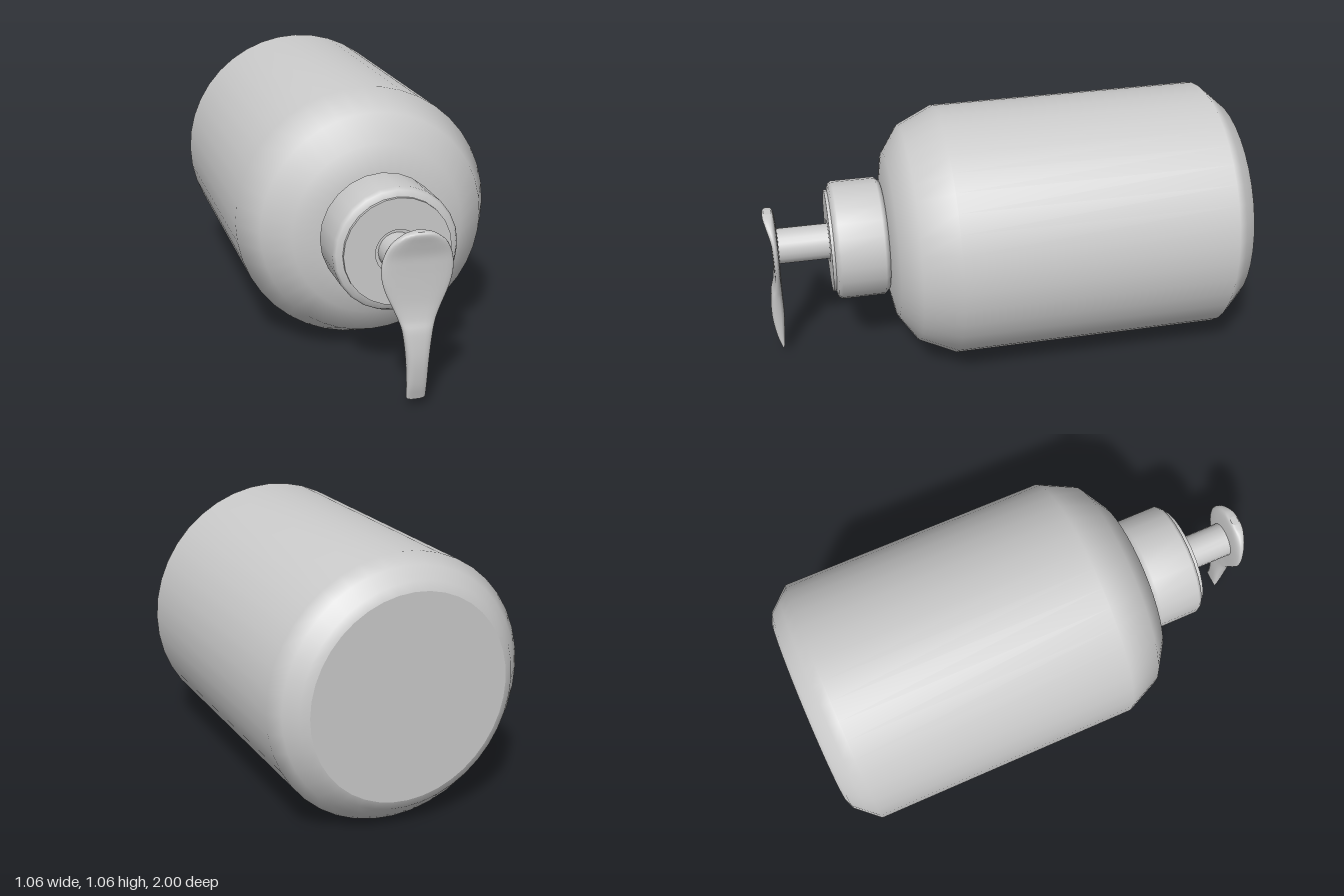
import * as THREE from 'three';
import { mergeGeometries } from 'three/addons/utils/BufferGeometryUtils.js';

const AXIS_Y = 0.53;
const material = new THREE.MeshStandardMaterial({ color: 0xcccccc });

// Turned part along z: each profile is a list of [radius, z]; edges between profiles stay sharp
function turned(name, segments, ...profiles) {
  const parts = profiles.map((p) =>
    new THREE.LatheGeometry(p.map(([r, z]) => new THREE.Vector2(r, z)), segments));
  const mesh = new THREE.Mesh(mergeGeometries(parts).rotateX(Math.PI / 2), material);
  mesh.name = name;
  mesh.position.y = AXIS_Y;
  return mesh;
}

// Spoon-shaped spout, lofted downwards through rounded sections
function spoutGeometry() {
  // y, half width, front z, back z
  const stations = [
    [0.697, 0.02, 0.990, 0.958], [0.685, 0.062, 0.997, 0.951], [0.65, 0.106, 0.988, 0.946],
    [0.60, 0.131, 0.976, 0.943], [0.55, 0.138, 0.973, 0.942], [0.50, 0.132, 0.972, 0.942],
    [0.45, 0.115, 0.972, 0.943], [0.40, 0.092, 0.974, 0.944], [0.35, 0.071, 0.981, 0.944],
    [0.30, 0.057, 0.994, 0.945], [0.20, 0.044, 1.0, 0.945], [0.10, 0.039, 0.988, 0.952],
    [0.03, 0.038, 0.968, 0.956],
  ];
  const front = new THREE.CatmullRomCurve3(
    stations.map(([y, w, f]) => new THREE.Vector3(w, y, f)), false, 'catmullrom');
  const back = new THREE.CatmullRomCurve3(
    stations.map(([y, w, , b], i) => new THREE.Vector3(w, i === 12 ? y + 0.025 : y, b)), false, 'catmullrom');
  const rows = 48, sides = 24;
  const pos = [], index = [];
  const soften = (v, e) => Math.sign(v) * Math.abs(v) ** e;

  for (let i = 0; i <= rows; i++) {
    const f = front.getPoint(i / rows), b = back.getPoint(i / rows);
    for (let j = 0; j < sides; j++) {
      const a = (j / sides) * Math.PI * 2;
      const s = (soften(Math.sin(a), 0.7) + 1) / 2;
      pos.push(f.x * soften(Math.cos(a), 0.7),
        THREE.MathUtils.lerp(b.y, f.y, s), THREE.MathUtils.lerp(b.z, f.z, s));
    }
  }
  for (let i = 0; i < rows; i++) {
    for (let j = 0; j < sides; j++) {
      const k = (j + 1) % sides;
      const a = i * sides + j, b = i * sides + k;
      index.push(a, b, a + sides, b, b + sides, a + sides);
    }
  }
  // End caps use their own vertices so their rims stay crisp
  for (const [row, top] of [[0, true], [rows, false]]) {
    const base = pos.length / 3;
    const ring = pos.slice(row * sides * 3, (row + 1) * sides * 3);
    pos.push(...ring);
    for (let j = 1; j < sides - 1; j++) {
      if (top) index.push(base, base + j + 1, base + j);
      else index.push(base, base + j, base + j + 1);
    }
  }
  const geometry = new THREE.BufferGeometry();
  geometry.setAttribute('position', new THREE.Float32BufferAttribute(pos, 3));
  geometry.setIndex(index);
  geometry.computeVertexNormals();
  return geometry;
}

export function createModel() {
  const model = new THREE.Group();
  model.name = 'pumpBottle';

  // Bottle lying on its side: flat base, bevelled rims, rounded shoulder
  model.add(turned('bottleBody', 40,
    [[0, -1], [0.41, -1]],
    [[0.41, -1], [0.445, -0.985], [0.49, -0.935], [0.53, -0.89], [0.53, 0.25],
      [0.46, 0.40], [0.35, 0.475], [0.22, 0.50], [0, 0.50]]));

  // Screw collar with a raised front disc
  model.add(turned('collar', 24,
    [[0.2, 0.495], [0.23, 0.50], [0.25, 0.52], [0.25, 0.70], [0.24, 0.715], [0.215, 0.722]],
    [[0.215, 0.722], [0.215, 0.735]],
    [[0.215, 0.735], [0.09, 0.735]],
    [[0.09, 0.735], [0.09, 0.72]],
    [[0.09, 0.72], [0, 0.72]]));

  // Pump stem
  model.add(turned('pumpStem', 20, [[0.075, 0.715], [0.075, 0.955]], [[0.075, 0.955], [0, 0.955]]));

  const spout = new THREE.Mesh(spoutGeometry(), material);
  spout.name = 'pumpSpout';
  model.add(spout);

  return model;
}
